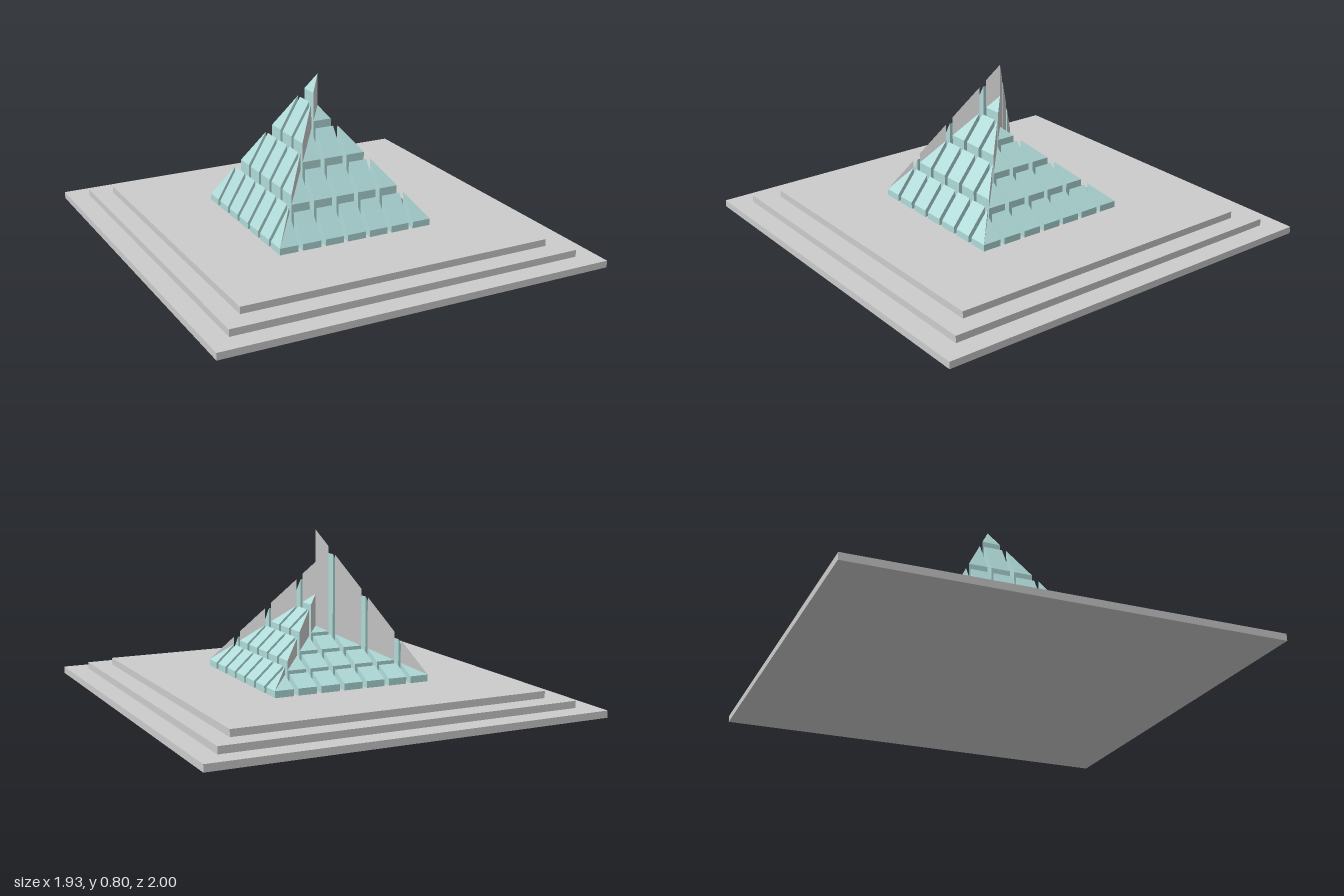
import * as THREE from 'three';

const CELL = 0.093, PITCH = 0.1155, HALF = 3 * PITCH + CELL / 2;
const DECK = 0.1, EAVE = 0.132;

const stone = new THREE.MeshStandardMaterial({ color: 0xcccccc, flatShading: true });
const glass = new THREE.MeshStandardMaterial({ color: 0xafdad8, flatShading: true });

function meshFrom(name, points, material) {
  const geometry = new THREE.BufferGeometry();
  geometry.setAttribute('position', new THREE.Float32BufferAttribute(points, 3));
  geometry.computeVertexNormals();
  const mesh = new THREE.Mesh(geometry, material);
  mesh.name = name;
  return mesh;
}

// Footprint of one block as [x, z] corners, cut along the pyramid's diagonals
function footprint(col, row) {
  const h = CELL / 2;
  if (row === 0) return [[-h, h], [h, h], [0, 0]];
  const near = row * PITCH - h, far = row * PITCH + h;
  if (col === row) return [[near, far], [far, far], [near, near]];
  if (col === -row) return [[-far, far], [-near, far], [-near, near]];
  const l = col * PITCH - h, r = col * PITCH + h;
  return [[l, far], [r, far], [r, near], [l, near]];
}

// One triangular quarter of the pyramid, facing +z, with its own peak height
function quarter(name, peak, turn) {
  const tiles = [], walls = [];
  const height = (z) => peak + (EAVE - peak) * z / HALF;
  const low = ([x, z]) => [x, DECK, z];
  const top = ([x, z]) => [x, height(z), z];
  for (let row = 0; row <= 3; row++) {
    for (let col = -row; col <= row; col++) {
      const pts = footprint(col, row);
      for (let i = 1; i < pts.length - 1; i++) {
        tiles.push(...top(pts[0]), ...top(pts[i]), ...top(pts[i + 1]));
      }
      pts.forEach((p, i) => {
        const q = pts[(i + 1) % pts.length];
        const onDiagonal = p[1] !== q[1] && Math.abs(p[0]) === p[1] && Math.abs(q[0]) === q[1];
        (onDiagonal ? walls : tiles).push(
          ...low(p), ...low(q), ...top(q),
          ...low(p), ...top(q), ...top(p));
      });
    }
  }
  const group = new THREE.Group();
  group.name = name;
  group.add(meshFrom(name + 'Blocks', tiles, glass), meshFrom(name + 'DiagonalWalls', walls, stone));
  group.rotation.y = turn;
  return group;
}

export function createModel() {
  const model = new THREE.Group();
  model.name = 'splitPyramid';

  // Three stacked plinth slabs
  const step = DECK / 3;
  [[1.93, 2], [1.732, 1.796], [1.542, 1.588]].forEach(([w, d], i) => {
    const slab = new THREE.Mesh(new THREE.BoxGeometry(w, step, d), stone);
    slab.name = 'plinthStep' + (i + 1);
    slab.position.y = step * (i + 0.5);
    model.add(slab);
  });

  // Four quarters of different steepness
  const pyramid = new THREE.Group();
  pyramid.name = 'pyramid';
  pyramid.position.set(-0.004, 0, 0.006);
  pyramid.add(
    quarter('frontQuarter', 0.642, 0),
    quarter('leftQuarter', 0.487, Math.PI / 2),
    quarter('backQuarter', 0.333, Math.PI),
    quarter('rightQuarter', 0.797, -Math.PI / 2));
  model.add(pyramid);
  return model;
}
